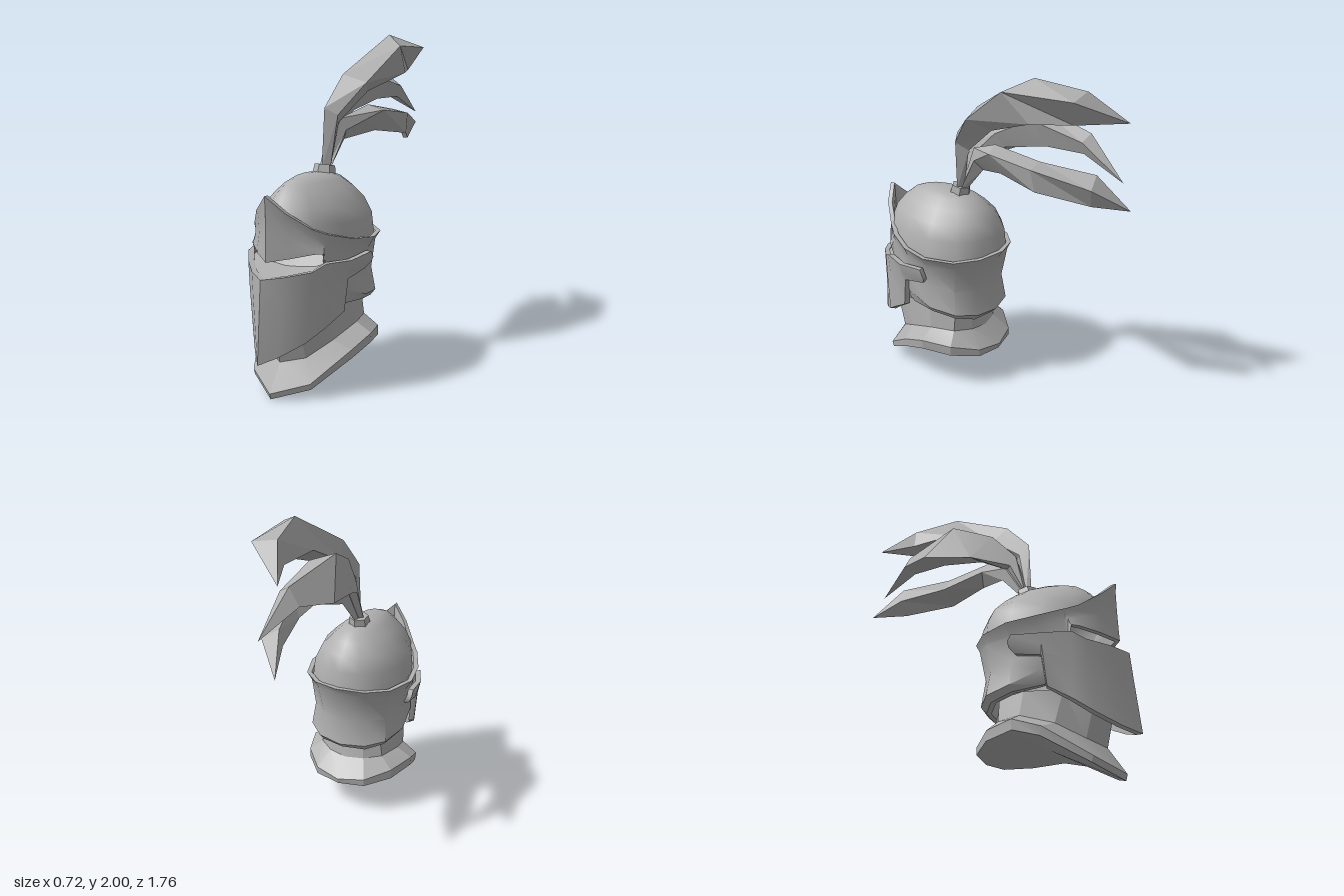
import * as THREE from 'three';
import { toCreasedNormals } from 'three/addons/utils/BufferGeometryUtils.js';

const steel = new THREE.MeshStandardMaterial({ color: 0xb0b0b0, side: THREE.DoubleSide });
steel.name = 'steelGrey';

// Skin a list of rings, each a list of [x, y, z]
function loft(rings, closed, crease) {
  const n = rings[0].length, index = [];
  for (let i = 0; i < rings.length - 1; i++) {
    for (let j = 0; j < (closed ? n : n - 1); j++) {
      const k = (j + 1) % n;
      const a = i * n + j, b = i * n + k, c = a + n, d = b + n;
      index.push(a, c, d, a, d, b);
    }
  }
  const geo = new THREE.BufferGeometry();
  geo.setAttribute('position', new THREE.Float32BufferAttribute(rings.flat(2), 3));
  geo.setIndex(index);
  return toCreasedNormals(geo, crease);
}

const flip = ([x, y, z]) => [-x, y, z];

// Half ring from front centre to back centre, completed on the other side
const mirrorRing = (half) => [...half, ...half.slice(1, -1).reverse().map(flip)];

// Thick plate from columns (top to bottom) running from the front centre to one side
function plate(half, thickness, closed, crease) {
  const cols = half.map((points) => ({ points, t: thickness }));
  if (!closed) cols.push({ points: half[half.length - 1], t: 0 }); // end cap
  const other = (closed ? cols.slice(1, -1) : cols.slice(1)).reverse()
    .map((c) => ({ points: c.points.map(flip), t: c.t }));
  const all = closed ? [...cols, ...other] : [...other, ...cols];
  const inset = ([x, y, z], t) => {
    const l = Math.hypot(x, z - 0.3) || 1;
    return [x - (x / l) * t, y, z - ((z - 0.3) / l) * t];
  };
  const rows = half[0].map((_, r) => r);
  const outer = rows.map((r) => all.map((c) => c.points[r]));
  const inner = rows.map((r) => all.map((c) => inset(c.points[r], c.t))).reverse();
  return loft([...outer, ...inner, outer[0]], closed, crease);
}

export function createModel() {
  const group = new THREE.Group();
  const add = (name, geo) => {
    const mesh = new THREE.Mesh(geo, steel);
    mesh.name = name;
    group.add(mesh);
    return mesh;
  };

  // Egg-shaped skull dome: height, width scale, depth scale
  const plan = [[0, 0.73], [0.1, 0.71], [0.2, 0.62], [0.28, 0.45], [0.31, 0.25],
    [0.25, 0.07], [0.13, -0.03], [0, -0.06]];
  const domeLevels = [[1.228, 0.001, 0.001], [1.217, 0.25, 0.38], [1.19, 0.39, 0.57],
    [1.14, 0.58, 0.74], [1.07, 0.8, 0.89], [0.98, 0.95, 0.975], [0.85, 1, 1]];
  add('skullDome', loft(domeLevels.map(([y, sx, sz]) =>
    mirrorRing(plan.map(([x, z]) => [x * sx, y, 0.345 + (z - 0.345) * sz]))), true, 0.9));

  // Helm wall: peaked brow in front, flared rim, waisted sides and a bevelled lower lip
  add('helmWallAndBrow', plate([
    [[0, 1.165, 0.79], [0, 1.1, 0.785], [0, 0.98, 0.785], [0, 0.85, 0.788], [0, 0.8, 0.79]],
    [[0.1, 1.07, 0.735], [0.1, 1.02, 0.72], [0.1, 0.94, 0.715], [0.11, 0.86, 0.72], [0.11, 0.82, 0.72]],
    [[0.2, 0.975, 0.63], [0.2, 0.94, 0.625], [0.2, 0.9, 0.625], [0.21, 0.86, 0.63], [0.21, 0.84, 0.635]],
    [[0.25, 0.945, 0.57], [0.24, 0.91, 0.57], [0.24, 0.88, 0.58], [0.245, 0.85, 0.59], [0.245, 0.84, 0.6]],
    [[0.26, 0.94, 0.56], [0.245, 0.88, 0.56], [0.24, 0.74, 0.57], [0.23, 0.62, 0.54], [0.21, 0.54, 0.52]],
    [[0.33, 0.9, 0.42], [0.3, 0.835, 0.415], [0.285, 0.7, 0.41], [0.285, 0.59, 0.42], [0.26, 0.51, 0.41]],
    [[0.36, 0.88, 0.25], [0.318, 0.81, 0.25], [0.295, 0.67, 0.25], [0.308, 0.53, 0.25], [0.28, 0.495, 0.25]],
    [[0.295, 0.87, 0.07], [0.265, 0.82, 0.08], [0.25, 0.65, 0.1], [0.268, 0.505, 0.08], [0.245, 0.47, 0.1]],
    [[0.17, 0.875, -0.04], [0.16, 0.83, -0.02], [0.14, 0.65, 0.01], [0.16, 0.485, -0.01], [0.15, 0.445, 0.02]],
    [[0, 0.885, -0.09], [0, 0.84, -0.06], [0, 0.63, -0.02], [0, 0.475, -0.042], [0, 0.44, -0.005]],
  ], 0.03, true, 0.6));

  // Ledge running inward from the visor rim, then rising behind the eye slit
  add('eyeSlitLining', plate([
    [[0, 0.87, 0.54], [0, 0.74, 0.61], [0, 0.71, 0.83]],
    [[0.1, 0.87, 0.54], [0.1, 0.75, 0.61], [0.11, 0.722, 0.76]],
    [[0.19, 0.87, 0.53], [0.19, 0.76, 0.59], [0.215, 0.742, 0.655]],
    [[0.24, 0.87, 0.52], [0.24, 0.78, 0.57], [0.26, 0.775, 0.595]],
  ], 0.02, false, 0.5));

  // Ridged lower visor with side arms reaching back to the hinges
  add('lowerVisor', plate([
    [[0, 0.715, 0.84], [0, 0.55, 0.853], [0, 0.24, 0.88]],
    [[0.11, 0.73, 0.775], [0.1, 0.57, 0.78], [0.08, 0.275, 0.8]],
    [[0.22, 0.75, 0.67], [0.21, 0.6, 0.675], [0.18, 0.34, 0.69]],
    [[0.27, 0.79, 0.605], [0.26, 0.63, 0.6], [0.245, 0.41, 0.59]],
    [[0.335, 0.785, 0.46], [0.305, 0.675, 0.46], [0.295, 0.485, 0.465]],
    [[0.337, 0.785, 0.45], [0.32, 0.72, 0.448], [0.305, 0.67, 0.44]],
    [[0.358, 0.8, 0.28], [0.35, 0.745, 0.275], [0.32, 0.695, 0.29]],
    [[0.36, 0.765, 0.26], [0.352, 0.745, 0.26], [0.345, 0.73, 0.262]],
  ], 0.035, false, 0.6));

  // Neck guard and flared collar, closed underneath
  const collar = [
    [[0, 0.48, 0.75], [0.12, 0.48, 0.68], [0.2, 0.49, 0.52], [0.245, 0.5, 0.3],
      [0.2, 0.5, 0.13], [0.1, 0.5, 0.08], [0, 0.5, 0.075]],
    [[0, 0.19, 0.68], [0.13, 0.22, 0.61], [0.22, 0.3, 0.47], [0.26, 0.36, 0.28],
      [0.22, 0.36, 0.13], [0.12, 0.35, 0.06], [0, 0.34, 0.04]],
    [[0, 0.035, 0.78], [0.2, 0.1, 0.67], [0.33, 0.255, 0.44], [0.36, 0.31, 0.28],
      [0.3, 0.29, 0.1], [0.17, 0.25, -0.03], [0, 0.23, -0.07]],
    [[0, 0, 0.77], [0.2, 0.065, 0.66], [0.33, 0.205, 0.43], [0.355, 0.25, 0.28],
      [0.3, 0.23, 0.1], [0.17, 0.205, -0.03], [0, 0.195, -0.06]],
  ];
  collar.push(collar[3].map(() => [0, 0.22, 0.35]));
  add('neckCollar', loft(collar.map(mirrorRing), true, 0.3));

  // Hexagonal plume socket
  const socket = add('plumeSocket',
    toCreasedNormals(new THREE.CylinderGeometry(0.06, 0.068, 0.055, 6), 0.3));
  socket.position.set(0, 1.231, 0.222);
  socket.rotation.x = -0.2;

  // Feathers: sections of upper, outer, lower and inner edge, narrowing to a tip
  const feather = (name, sections, tip) => {
    const all = [...sections, [tip, tip, tip, tip]];
    const outward = sections[1][1][0] > 0;
    add(name, loft(outward ? all : all.map((s) => [...s].reverse()), true, 0.15));
  };
  feather('upperFeather', [
    [[0, 1.24, 0.25], [0.04, 1.24, 0.22], [0.01, 1.24, 0.19], [-0.01, 1.24, 0.22]],
    [[0.01, 1.59, 0.235], [0.08, 1.55, 0.2], [0.04, 1.5, 0.13], [0, 1.53, 0.17]],
    [[0.03, 1.775, 0.07], [0.18, 1.73, 0.05], [0.11, 1.67, -0.08], [0, 1.68, -0.02]],
    [[0.1, 2, -0.35], [0.245, 1.935, -0.23], [0.2, 1.77, -0.38], [0, 1.82, -0.33]],
    [[0.03, 1.95, -0.64], [0.19, 1.92, -0.64], [0.1, 1.775, -0.6], [0, 1.82, -0.63]],
  ], [-0.09, 1.78, -0.84]);
  feather('middleFeather', [
    [[0, 1.24, 0.23], [-0.035, 1.24, 0.22], [0, 1.24, 0.2], [0.01, 1.24, 0.22]],
    [[-0.01, 1.52, 0.15], [-0.035, 1.45, 0.12], [0.01, 1.45, 0.08], [0.02, 1.48, 0.11]],
    [[-0.04, 1.69, 0], [-0.12, 1.53, -0.12], [0, 1.55, -0.1], [0.035, 1.63, -0.05]],
    [[-0.1, 1.8, -0.26], [-0.18, 1.58, -0.43], [0, 1.6, -0.38], [0.045, 1.75, -0.3]],
    [[-0.03, 1.71, -0.64], [-0.09, 1.61, -0.64], [0.01, 1.6, -0.62], [0.04, 1.67, -0.62]],
  ], [0.02, 1.48, -0.87]);
  feather('lowerFeather', [
    [[0.01, 1.24, 0.21], [0.03, 1.24, 0.2], [0, 1.23, 0.18], [-0.01, 1.24, 0.2]],
    [[0.03, 1.52, 0.1], [0.06, 1.45, 0.08], [0.02, 1.39, 0.04], [0, 1.46, 0.07]],
    [[0.1, 1.59, -0.1], [0.2, 1.56, -0.12], [0.12, 1.43, -0.15], [0.04, 1.5, -0.12]],
    [[0.1, 1.54, -0.4], [0.21, 1.52, -0.4], [0.19, 1.39, -0.42], [0.05, 1.45, -0.41]],
    [[0, 1.49, -0.7], [0.1, 1.43, -0.72], [0.05, 1.32, -0.7], [-0.02, 1.4, -0.7]],
  ], [-0.08, 1.29, -0.88]);

  return group;
}
